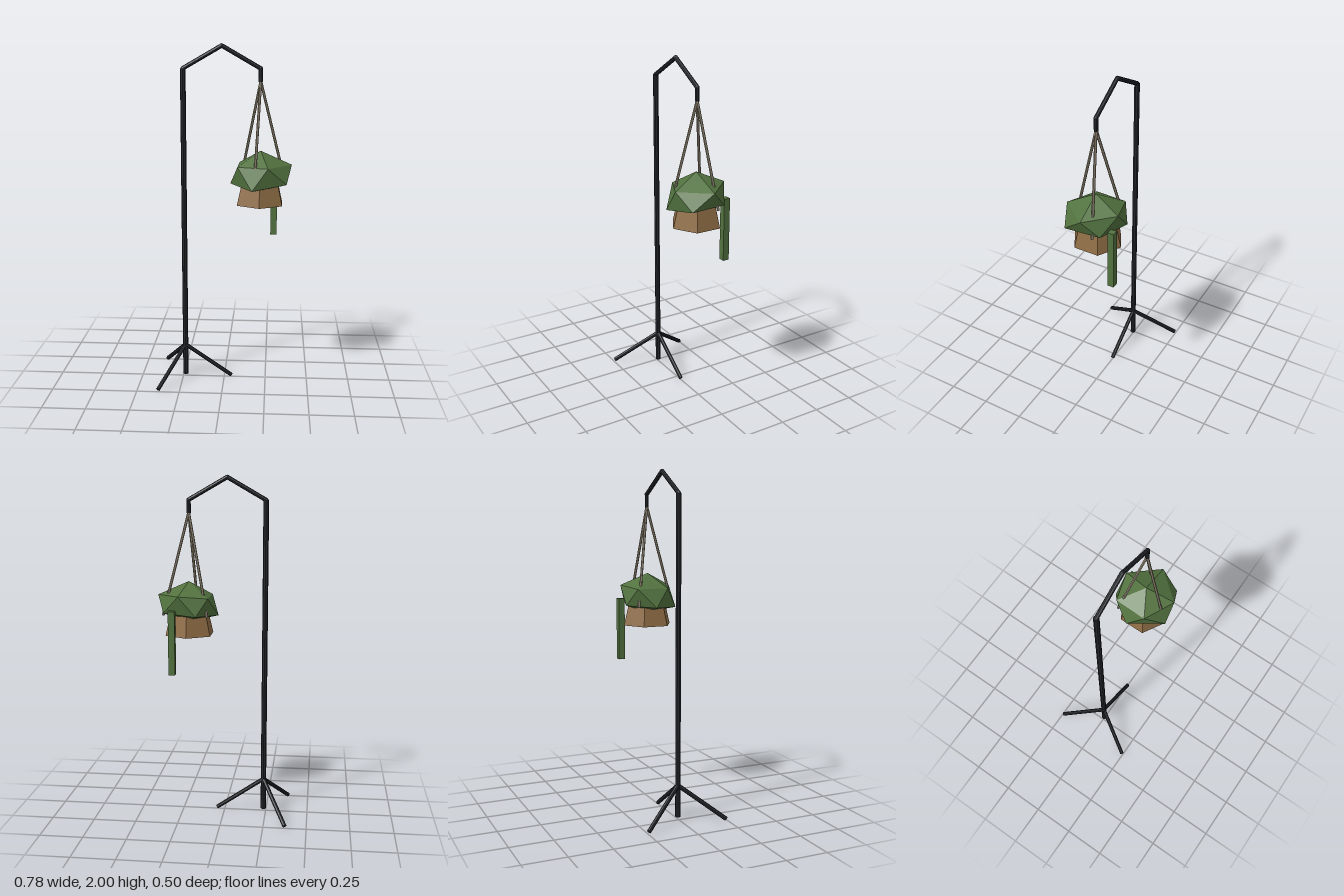
import * as THREE from 'three';
import { ConvexGeometry } from 'three/addons/geometries/ConvexGeometry.js';

const paint = (color) => new THREE.MeshStandardMaterial({ color, flatShading: true });
const V = (x, y, z) => new THREE.Vector3(x, y, z);

export function createModel() {
  const model = new THREE.Group();
  const iron = paint(0x23262b), clay = paint(0x8f6d45), leaf = paint(0x52723f), cord = paint(0x968b78);

  const add = (name, geometry, material, parent = model) => {
    const mesh = new THREE.Mesh(geometry, material);
    mesh.name = name;
    parent.add(mesh);
    return mesh;
  };

  // straight bar between two points
  const bar = (name, a, b, radius, sides, material, parent) => {
    const mesh = add(name, new THREE.CylinderGeometry(radius, radius, a.distanceTo(b), sides), material, parent);
    mesh.position.copy(a).lerp(b, 0.5);
    mesh.quaternion.setFromUnitVectors(V(0, 1, 0), b.clone().sub(a).normalize());
    return mesh;
  };

  // stand: pole and three splayed legs
  const poleX = -0.235, hangX = 0.207;
  const stand = new THREE.Group();
  stand.name = 'stand';
  model.add(stand);
  bar('pole', V(poleX, 0.015, 0), V(poleX, 1.86, 0), 0.016, 8, iron, stand);
  for (let i = 0; i < 3; i++) {
    const t = (i * Math.PI * 2) / 3;
    const foot = V(poleX + 0.28 * Math.cos(t), 0.011, 0.28 * Math.sin(t));
    bar('leg', V(poleX, 0.203, 0), foot, 0.0125, 8, iron, stand);
  }

  // peaked arm and the short drop that carries the ropes
  const path = [V(poleX, 1.86, 0), V(-0.014, 1.987, 0), V(hangX, 1.86, 0), V(hangX, 1.785, 0)];
  for (let i = 0; i < 3; i++) {
    bar(i < 2 ? 'arm' : 'hangerDrop', path[i], path[i + 1], 0.0125, 8, iron, stand);
  }
  for (const p of path.slice(0, 3)) {
    add('armJoint', new THREE.IcosahedronGeometry(0.0128, 1), iron, stand).position.copy(p);
  }

  // three ropes spreading down to the planter
  for (let i = 0; i < 3; i++) {
    const t = 0.33 + (i * Math.PI * 2) / 3;
    const end = V(hangX + 0.155 * Math.cos(t), 1.2, -0.155 * Math.sin(t));
    bar('rope', V(hangX, 1.79, 0), end, 0.008, 6, cord);
  }

  // six-sided pot, wider at the foot
  const pot = add('pot', new THREE.CylinderGeometry(0.113, 0.15, 0.15, 6), clay);
  pot.position.set(hangX, 1.16, 0);

  // faceted foliage: apex, two uneven rings of five, underside
  add('foliage', new ConvexGeometry([
    V(0.21, 1.395, 0.005),
    V(0.39, 1.315, 0), V(0.25, 1.325, -0.155), V(0.085, 1.31, -0.11), V(0.08, 1.31, 0.08), V(0.255, 1.315, 0.165),
    V(0.345, 1.22, -0.095), V(0.15, 1.21, -0.158), V(0.035, 1.2, -0.01), V(0.165, 1.187, 0.17), V(0.36, 1.218, 0.12),
    V(0.21, 1.16, 0),
  ]), leaf);

  // trailing vine behind the pot
  add('vine', new THREE.BoxGeometry(0.038, 0.37, 0.038), leaf).position.set(0.289, 1.055, -0.139);

  return model;
}
